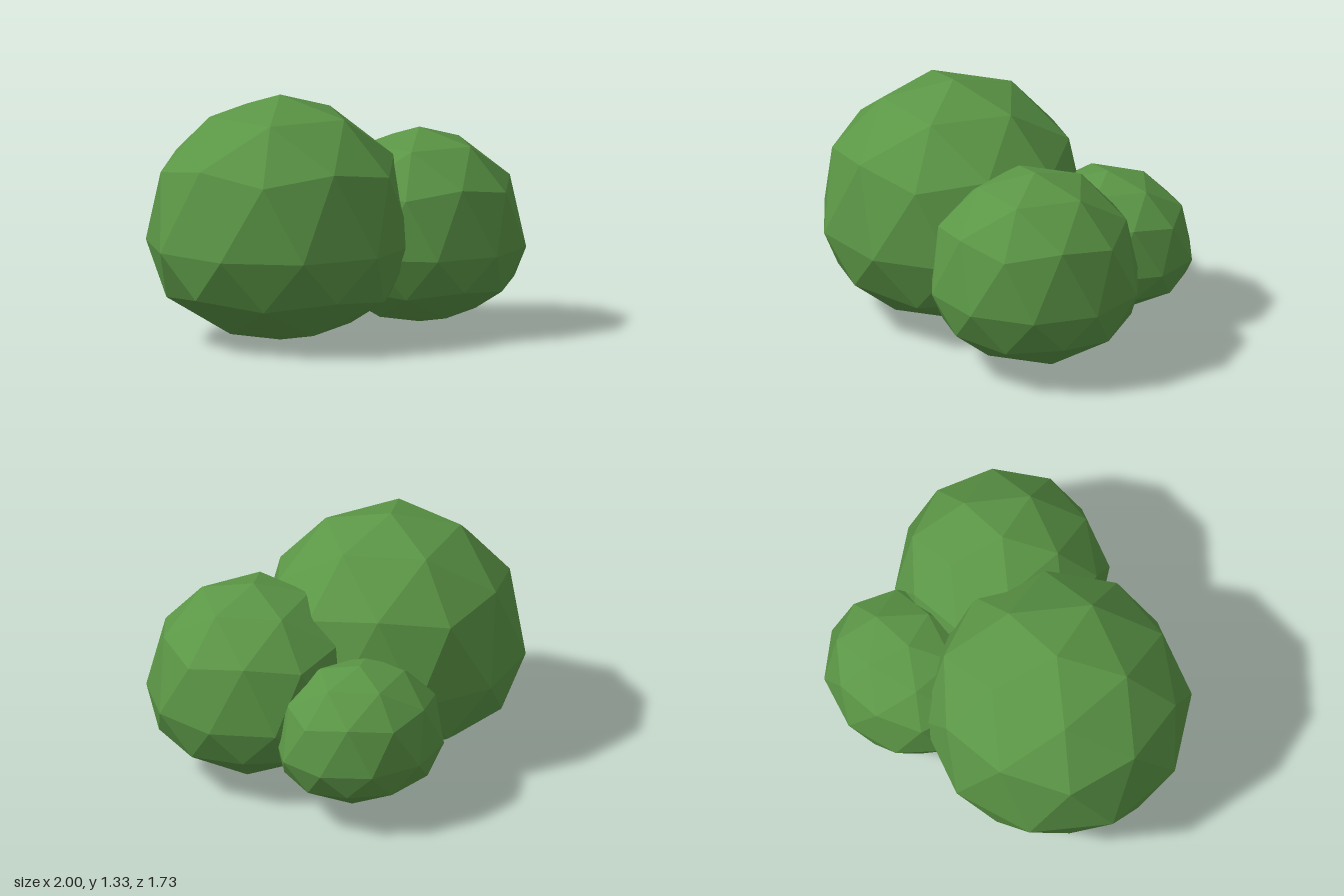
import * as THREE from 'three';

// Low-poly ball with a pole on top and a squashed, slightly sagging lower half.
function foliageBall(rx, ry, rz) {
  const geo = new THREE.IcosahedronGeometry(1, 1);
  geo.rotateZ(-Math.atan(2 / (1 + Math.sqrt(5))));
  const pos = geo.attributes.position;
  for (let i = 0; i < pos.count; i++) {
    const y = pos.getY(i);
    if (y < 0.01) pos.setY(i, y * 0.727 - 0.104);
  }
  geo.scale(rx, ry, rz);
  geo.computeVertexNormals();
  return geo;
}

export function createModel() {
  const bush = new THREE.Group();
  bush.name = 'bush';
  const leaves = new THREE.MeshStandardMaterial({ color: 0x5b9646, flatShading: true });

  // name, centre, radii
  const clumps = [
    ['largeClump', [-0.31, 0.605, -0.012], [0.725, 0.725, 0.723]],
    ['frontClump', [0.45, 0.52, 0.285], [0.576, 0.576, 0.576]],
    ['backClump', [0.4, 0.426, -0.437], [0.484, 0.407, 0.43]],
  ];
  for (const [name, centre, radii] of clumps) {
    const mesh = new THREE.Mesh(foliageBall(...radii), leaves);
    mesh.name = name;
    mesh.position.set(...centre);
    bush.add(mesh);
  }
  return bush;
}
